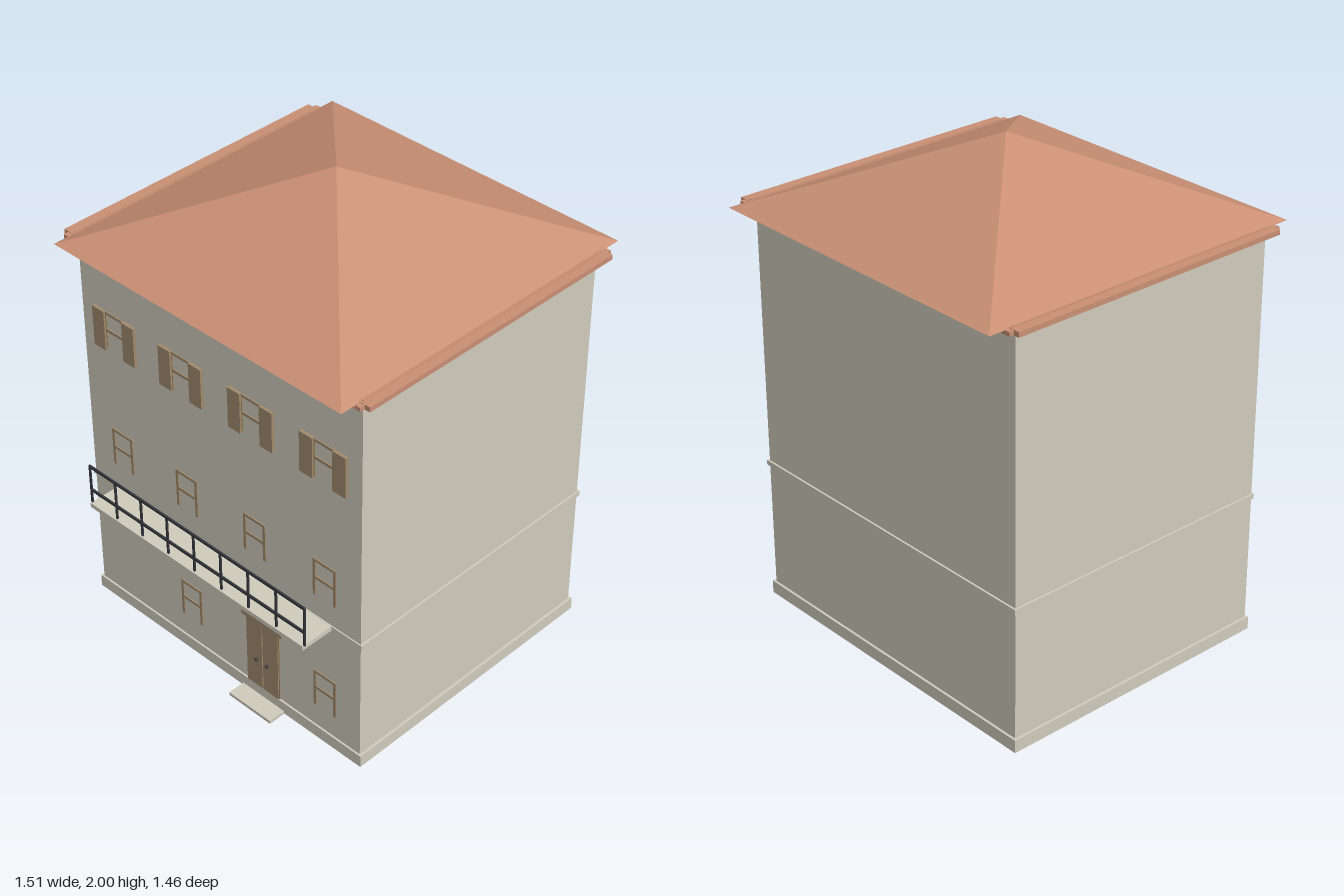
import * as THREE from 'three';

const mat = (name, color, extra = {}) => {
  const m = new THREE.MeshStandardMaterial({ color, ...extra });
  m.name = name;
  return m;
};

export function createModel() {
  const wall = mat('plaster', 0xcfcbbc);
  const tile = mat('roofTile', 0xc98f74, { flatShading: true });
  const wood = mat('wood', 0xa08a6c);
  const iron = mat('iron', 0x33353b);
  const house = new THREE.Group();
  house.name = 'house';

  // Box given by its limits on each axis
  const box = (parent, name, material, [x0, x1], [y0, y1], [z0, z1]) => {
    const mesh = new THREE.Mesh(new THREE.BoxGeometry(x1 - x0, y1 - y0, z1 - z0), material);
    mesh.position.set((x0 + x1) / 2, (y0 + y1) / 2, (z0 + z1) / 2);
    mesh.name = name;
    parent.add(mesh);
    return mesh;
  };
  const group = (name) => {
    const g = new THREE.Group();
    g.name = name;
    house.add(g);
    return g;
  };
  const FRONT = 0.58;

  // Walls, plinth and string course
  box(house, 'walls', wall, [-0.706, 0.706], [0.005, 1.675], [-0.61, FRONT]);
  box(house, 'plinth', wall, [-0.717, 0.717], [0.003, 0.056], [-0.62, 0.588]);
  box(house, 'stringCourse', wall, [-0.714, 0.714], [0.582, 0.602], [-0.618, 0.585]);

  // Hipped roof: a four-sided cone stretched to the plan
  const roofGeo = new THREE.ConeGeometry(Math.SQRT1_2, 0.315, 4);
  roofGeo.rotateY(Math.PI / 4);
  roofGeo.scale(1.42, 1, 1.415);
  const roof = new THREE.Mesh(roofGeo, tile);
  roof.name = 'roof';
  roof.position.set(0, 1.8425, -0.02);
  house.add(roof);

  // Stepped eaves, widest along the two sides
  const eaves = group('eaves');
  box(eaves, 'eavesCore', tile, [-0.708, 0.708], [1.67, 1.684], [-0.66, 0.625]);
  for (const s of [-1, 1]) {
    const span = (a, b) => (s > 0 ? [a, b] : [-b, -a]);
    box(eaves, 'eavesStep', tile, span(0.69, 0.732), [1.67, 1.686], [-0.66, 0.622]);
    box(eaves, 'eavesGutter', tile, span(0.7, 0.755), [1.668, 1.688], [-0.64, 0.6]);
    box(eaves, 'eavesRidge', tile, span(0.708, 0.716), [1.68, 1.691], [-0.63, 0.59]);
  }

  // Windows: open frame with a crossbar, optional shutters
  const addWindow = (cx, y0, y1, bar, shutters) => {
    const g = group('window');
    const z = [FRONT - 0.005, FRONT + 0.005];
    for (const s of [-1, 1]) {
      const x = cx + s * 0.05;
      box(g, 'windowJamb', wood, [x - 0.006, x + 0.006], [y0, y1], z);
      if (shutters) {
        const sx = cx + s * 0.079;
        box(g, 'shutter', wood, [sx - 0.031, sx + 0.031], [y0 - 0.002, y1 + 0.002], [FRONT, FRONT + 0.013]);
      }
    }
    box(g, 'windowHead', wood, [cx - 0.055, cx + 0.055], [y1 - 0.011, y1], z);
    box(g, 'windowCrossbar', wood, [cx - 0.046, cx + 0.046], [bar - 0.006, bar + 0.006], z);
  };
  for (const cx of [-0.53, -0.178, 0.178, 0.53]) {
    addWindow(cx, 1.238, 1.406, 1.325, true);
    addWindow(cx, 0.702, 0.87, 0.785, false);
  }
  for (const cx of [-0.178, 0.53]) addWindow(cx, 0.162, 0.332, 0.25, false);

  // Double door with lintel, knobs and doorstep
  const door = group('door');
  box(door, 'doorFrame', wood, [0.122, 0.296], [0.056, 0.382], [FRONT, 0.584]);
  for (const s of [-1, 1]) {
    const cx = 0.209 + s * 0.042;
    box(door, 'doorLeaf', wood, [cx - 0.04, cx + 0.04], [0.056, 0.38], [FRONT, 0.588]);
    const knob = new THREE.Mesh(new THREE.SphereGeometry(0.007, 10, 8), iron);
    knob.name = 'doorKnob';
    knob.position.set(0.209 + s * 0.028, 0.192, 0.593);
    door.add(knob);
  }
  box(door, 'doorLintel', wood, [0.105, 0.315], [0.379, 0.402], [FRONT, 0.592]);
  box(house, 'doorstep', wall, [0.1, 0.32], [0, 0.014], [0.57, 0.662]);

  // Balcony slab and front railing
  const balcony = group('balcony');
  box(balcony, 'balconySlab', wall, [-0.566, 0.566], [0.582, 0.601], [0.57, 0.73]);
  for (let i = 0; i < 9; i++) {
    const x = -0.566 + i * 0.1415;
    box(balcony, 'railingPost', iron, [x - 0.004, x + 0.004], [0.6, 0.776], [0.716, 0.723]);
  }
  for (const y of [0.774, 0.662])
    box(balcony, 'railingBar', iron, [-0.569, 0.569], [y - 0.005, y + 0.005], [0.716, 0.724]);

  return house;
}
